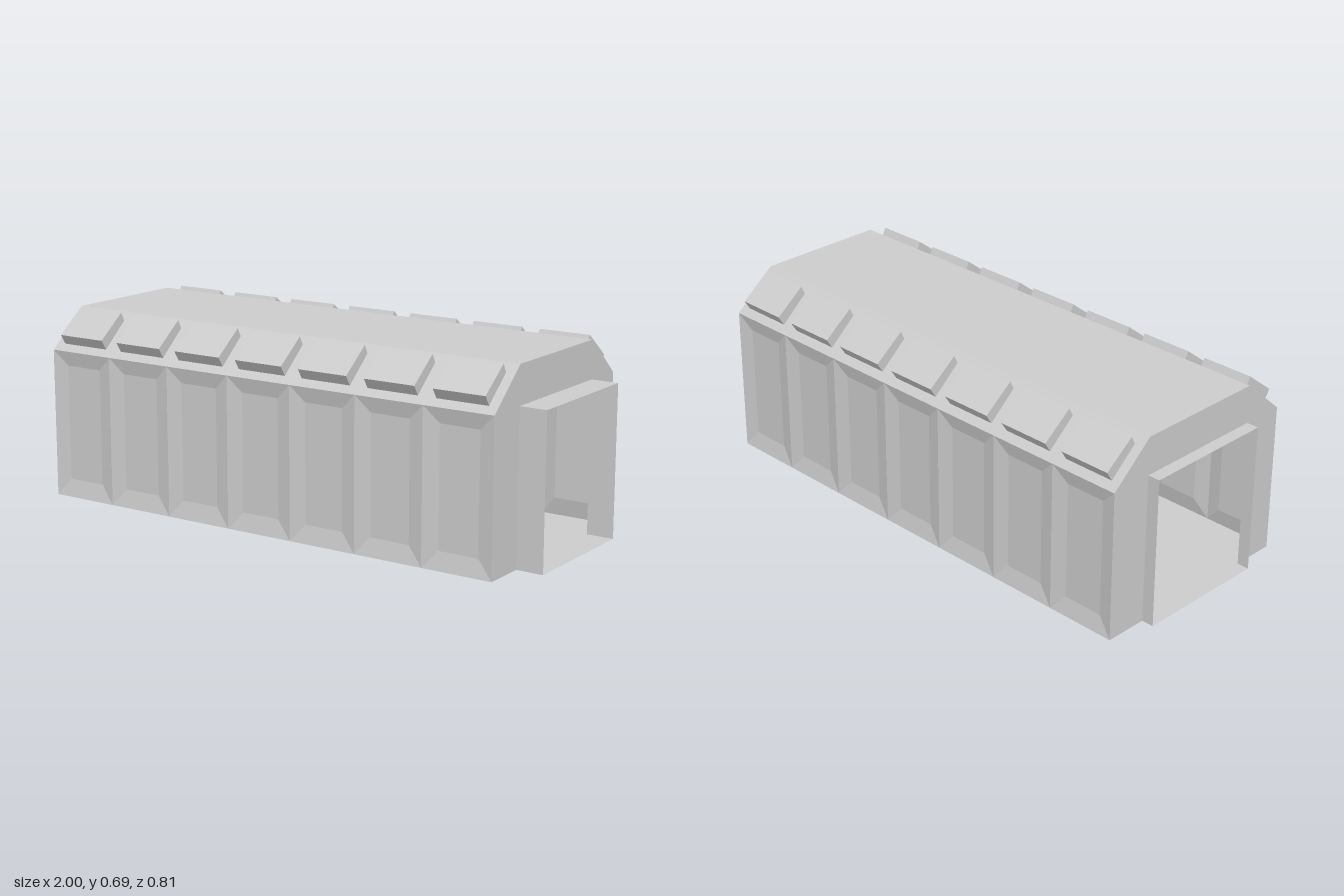
import * as THREE from 'three';

const material = new THREE.MeshStandardMaterial({
  color: 0xcccccc, flatShading: true, side: THREE.DoubleSide,
});

// Main measures of the hollow, thin-walled module
const X0 = -0.955, X1 = 0.9, CELLS = 7, PITCH = (X1 - X0) / CELLS;
const HALF = 0.406, WALL_H = 0.546, ROOF_HALF = 0.247, ROOF_H = 0.685;
const DOOR_H = 0.547, RECESS = 0.013;

function add(group, name, geometry) {
  const mesh = new THREE.Mesh(geometry, material);
  mesh.name = name;
  group.add(mesh);
}

// Joins four-cornered rings one to the next and closes the last one
function loftRings(rings, flip) {
  const pos = [];
  const quad = (a, b, c, d) => {
    const tris = flip ? [a, c, b, a, d, c] : [a, b, c, a, c, d];
    tris.forEach((p) => pos.push(...p));
  };
  for (let r = 0; r < rings.length - 1; r++) {
    for (let i = 0; i < 4; i++) {
      const j = (i + 1) % 4;
      quad(rings[r][i], rings[r][j], rings[r + 1][j], rings[r + 1][i]);
    }
  }
  quad(...rings[rings.length - 1]);
  const geometry = new THREE.BufferGeometry();
  geometry.setAttribute('position', new THREE.Float32BufferAttribute(pos, 3));
  geometry.computeVertexNormals();
  return geometry;
}

// Rectangle on a surface, given by a function (x, v) -> point
const ring = (at, x0, x1, v0, v1) => [at(x0, v0), at(x1, v0), at(x1, v1), at(x0, v1)];

// Flat horizontal sheet
function sheet(x0, x1, halfWidth, y) {
  return new THREE.PlaneGeometry(x1 - x0, halfWidth * 2)
    .rotateX(-Math.PI / 2).translate((x0 + x1) / 2, y, 0);
}

function createSide(s) {
  const side = new THREE.Group();
  side.name = s > 0 ? 'frontSide' : 'backSide';
  const wall = (depth) => (x, y) => [x, y, s * (HALF - depth)];
  // Sloped shoulder: t runs from wall to roof, the lift off it falls towards the roof
  const run = HALF - ROOF_HALF, rise = ROOF_H - WALL_H, len = Math.hypot(run, rise);
  const slope = (lift, fall = 0) => (x, t) => {
    const h = (lift - fall * t) / len;
    return [x, WALL_H + rise * t + run * h, s * (HALF - run * t + rise * h)];
  };
  for (let i = 0; i < CELLS; i++) {
    const a = X0 + i * PITCH, b = a + PITCH;
    // Shallow recessed wall panel with bevelled borders
    add(side, 'wallPanel', loftRings([
      ring(wall(0), a, b, 0, WALL_H),
      ring(wall(RECESS), a + 0.057, b - 0.057, 0.065, WALL_H - 0.055),
    ], s < 0));
    // Shoulder with a raised skylight, hollow from inside
    add(side, 'skylight', loftRings([
      ring(slope(0), a, b, 0, 1),
      ring(slope(0), a + 0.035, b - 0.035, 0.16, 0.81),
      ring(slope(0.044, 0.012), a + 0.035, b - 0.035, 0.19, 0.853),
    ], s < 0));
  }
  return side;
}

function createEnd(x, tip) {
  const end = new THREE.Group();
  end.name = x > 0 ? 'leftEnd' : 'rightEnd';
  const dir = Math.sign(x), length = Math.abs(tip - x), mid = (x + tip) / 2;
  // End wall around the doorway
  const outline = new THREE.Shape([
    [ROOF_HALF, 0], [HALF, 0], [HALF, WALL_H], [ROOF_HALF, ROOF_H],
    [-ROOF_HALF, ROOF_H], [-HALF, WALL_H], [-HALF, 0], [-ROOF_HALF, 0],
    [-ROOF_HALF, DOOR_H], [ROOF_HALF, DOOR_H],
  ].map(([u, v]) => new THREE.Vector2(u, v)));
  add(end, 'endWall', new THREE.ShapeGeometry(outline)
    .rotateY(dir * Math.PI / 2).translate(x, 0, 0));
  // Thin doorway collar
  for (const s of [1, -1]) {
    add(end, 'collarSide', new THREE.PlaneGeometry(length, DOOR_H)
      .rotateY(s > 0 ? 0 : Math.PI).translate(mid, DOOR_H / 2, s * ROOF_HALF));
  }
  const lo = Math.min(x, tip), hi = Math.max(x, tip);
  add(end, 'collarTop', sheet(lo, hi, ROOF_HALF, DOOR_H));
  add(end, 'collarFloor', sheet(lo, hi, ROOF_HALF, 0));
  return end;
}

export function createModel() {
  const model = new THREE.Group();
  model.name = 'corridorModule';
  add(model, 'floor', sheet(X0, X1, HALF, 0));
  add(model, 'roof', sheet(X0, X1, ROOF_HALF, ROOF_H));
  model.add(createSide(1), createSide(-1));
  model.add(createEnd(X1, 1), createEnd(X0, -1));
  return model;
}
